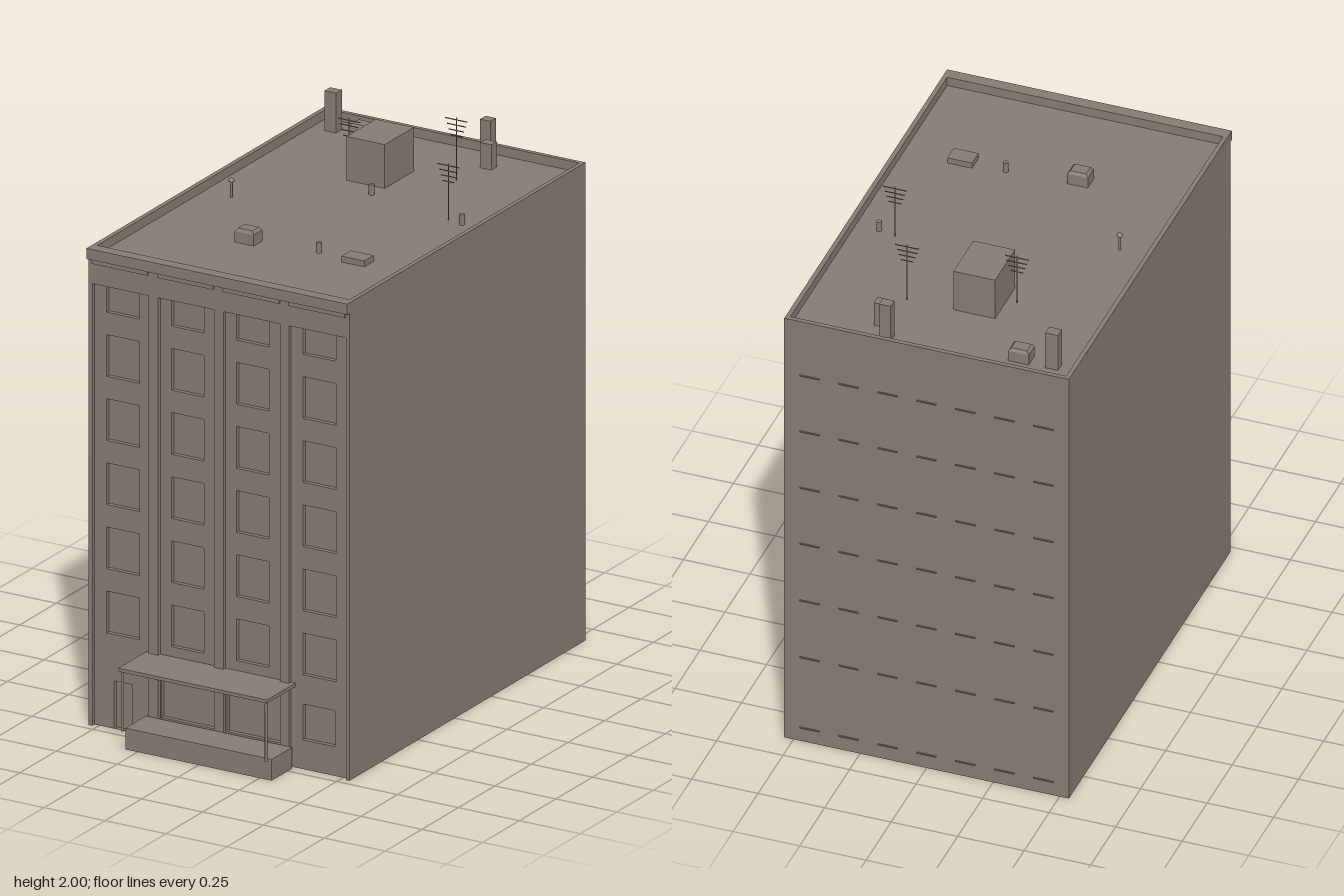
import * as THREE from 'three';

export function createModel() {
  const model = new THREE.Group();
  model.name = 'apartmentBlock';
  const stone = new THREE.MeshStandardMaterial({ color: 0x857c72, side: THREE.DoubleSide });
  stone.name = 'warm grey';

  function add(geo, name, parent = model) {
    const mesh = new THREE.Mesh(geo, stone);
    mesh.name = name;
    parent.add(mesh);
    return mesh;
  }
  function group(name) {
    const g = new THREE.Group();
    g.name = name;
    model.add(g);
    return g;
  }
  // Box from its limits; omit lists faces left open (0 +x, 1 -x, 2 +y, 3 -y, 4 +z, 5 -z)
  function box(name, x0, x1, y0, y1, z0, z1, omit = [], parent = model) {
    const geo = new THREE.BoxGeometry(x1 - x0, y1 - y0, z1 - z0);
    geo.translate((x0 + x1) / 2, (y0 + y1) / 2, (z0 + z1) / 2);
    const index = Array.from(geo.index.array);
    geo.setIndex(index.filter((v, i) => !omit.includes(Math.floor(i / 6))));
    geo.clearGroups();
    return add(geo, name, parent);
  }
  // Upright rectangle facing the front, with rectangular holes
  function panel(name, [x0, x1, y0, y1], z, holes, parent) {
    const trace = (path, [a, b, c, d]) => {
      path.moveTo(a, c); path.lineTo(b, c); path.lineTo(b, d); path.lineTo(a, d); path.closePath();
      return path;
    };
    const shape = trace(new THREE.Shape(), [x0, x1, y0, y1]);
    holes.forEach(h => shape.holes.push(trace(new THREE.Path(), h)));
    return add(new THREE.ShapeGeometry(shape).translate(0, 0, z), name, parent);
  }
  function tube(name, x, y0, y1, z, r, sides, parent = model) {
    const geo = new THREE.CylinderGeometry(r, r, y1 - y0, sides);
    return add(geo.translate(x, (y0 + y1) / 2, z), name, parent);
  }

  const W = 0.535, BACK = -0.895, FRONT = 0.72, TOP = 1.8, ROOF = 1.765;
  const BAY_TOP = 1.665, BAY_Z = 0.705, PANE_Z = 0.688;

  // Side and back walls, open underneath
  box('outerWalls', -W, W, 0, TOP, BACK, FRONT, [2, 3, 4]);

  // Roof with raised edge
  const roof = group('roof');
  add(new THREE.PlaneGeometry(2 * W, 1.6).rotateX(-Math.PI / 2).translate(0, ROOF, -0.095), 'roofDeck', roof);
  box('parapetLeft', 0.518, W, ROOF, TOP, BACK, 0.69, [0, 3, 4, 5], roof);
  box('parapetRight', -W, -0.518, ROOF, TOP, BACK, 0.69, [1, 3, 4, 5], roof);
  box('parapetBack', -0.518, 0.518, ROOF, TOP, BACK, -0.878, [0, 1, 3, 5], roof);
  box('cornice', -W, W, 1.76, TOP, 0.69, 0.735, [], roof);

  // Facade: frieze, pilasters and recessed window bays
  const facade = group('facade');
  panel('frieze', [-W, W, BAY_TOP, 1.76], FRONT, [], facade);
  const bays = [[-0.52, -0.29], [-0.25, -0.02], [0.018, 0.25], [0.287, 0.52]];
  const edges = [-W, ...bays.flat(), W];
  for (let i = 0; i < edges.length; i += 2) {
    panel('pilaster', [edges[i], edges[i + 1], 0, BAY_TOP], FRONT, [], facade);
  }
  const groundOpenings = [
    [-0.44, -0.365, 0.001, 0.18],
    [-0.245, -0.025, 0.08, 0.285],
    [0.023, 0.243, 0.08, 0.285],
    [0.335, 0.467, 0.11, 0.245],
  ];
  bays.forEach(([x0, x1], b) => {
    box('bayReveal', x0, x1, 0, BAY_TOP, BAY_Z, FRONT, [3, 4, 5], facade);
    box('bayMoulding', x0, x1, 1.743, 1.76, FRONT, 0.728, [5], facade);
    const left = [-0.47, -0.205, 0.062, 0.335][b];
    const holes = [groundOpenings[b]];
    for (let r = 0; r < 6; r++) {
      const y = 0.355 + r * 0.2415;
      holes.push([left, left + 0.135, y, Math.min(y + 0.157, BAY_TOP - 0.001)]);
    }
    panel('bayWall', [x0, x1, 0, BAY_TOP], BAY_Z, holes, facade);
    holes.forEach(([a, c, d, e], i) =>
      box(i ? 'window' : 'groundOpening', a, c, d, e, PANE_Z, BAY_Z, [4], facade));
  });

  // Entrance platform, canopy and posts
  const entrance = group('entrance');
  box('entranceStep', -0.3, 0.3, 0, 0.08, FRONT, 0.86, [3, 5], entrance);
  box('canopy', -0.305, 0.305, 0.305, 0.318, BAY_Z, 0.9, [], entrance);
  for (const s of [-1, 1]) tube('canopyPost', s * 0.295, 0.08, 0.305, 0.89, 0.005, 8, entrance);

  // Thin sills on the back wall
  const sills = group('backSills');
  for (const y of [0.058, 0.36, 0.604, 0.848, 1.088, 1.33, 1.57]) {
    for (let i = -3; i <= 3; i++) {
      const x = i * 0.1465;
      box('backSill', x - 0.037, x + 0.037, y - 0.002, y + 0.002, -0.9, BACK, [4], sills);
    }
  }

  // Stair house and chimneys
  const rooftop = group('rooftopStructures');
  const block = (name, x0, x1, z0, z1, top) => box(name, x0, x1, ROOF, top, z0, z1, [3], rooftop);
  block('stairHouse', -0.143, 0.014, -0.59, -0.39, 1.93);
  block('chimney', -0.462, -0.414, -0.81, -0.77, 1.915);
  block('chimney', 0.152, 0.195, -0.85, -0.812, 1.915);
  block('shortChimney', 0.197, 0.243, -0.776, -0.738, 1.86);
  block('roofHatch', 0.257, 0.35, 0.245, 0.31, 1.787);

  // Skylight boxes with bevelled tops
  for (const [x, z] of [[-0.315, -0.785], [-0.128, 0.305]]) {
    const geo = new THREE.BoxGeometry(0.078, 0.053, 0.06, 1, 2, 1);
    const p = geo.attributes.position;
    for (let i = 0; i < p.count; i++) {
      if (p.getY(i) > 0.02) p.setXYZ(i, p.getX(i) * 0.75, p.getY(i), p.getZ(i) * 0.75);
      else if (p.getY(i) > -0.01) p.setY(i, 0.015);
    }
    const flat = geo.toNonIndexed();
    flat.computeVertexNormals();
    add(flat.translate(x, ROOF + 0.0265, z), 'skylight', rooftop);
  }

  // Vent pipes
  for (const [x, z] of [[0.005, -0.315], [0.43, -0.225], [0.14, 0.27]]) {
    tube('ventPipe', x, ROOF, 1.804, z, 0.01, 12, rooftop);
  }
  tube('ventStem', -0.405, ROOF, 1.825, -0.04, 0.005, 8, rooftop);
  add(new THREE.SphereGeometry(0.012, 12, 6, 0, Math.PI * 2, 0, Math.PI / 2)
    .translate(-0.405, 1.825, -0.04), 'ventCap', rooftop);

  // Aerials with crossbars that shorten downwards
  for (const [x, z, top] of [[-0.18, -0.47, 1.965], [0.188, -0.59, 2.0], [0.365, -0.24, 1.977]]) {
    const aerial = group('aerial');
    tube('aerialMast', x, ROOF, top, z, 0.002, 6, aerial);
    for (let i = 0; i < 4; i++) {
      const half = 0.045 - i * 0.007, y = top - 0.008 - i * 0.02;
      box('aerialBar', x - half, x + half, y - 0.0015, y + 0.0015, z - 0.0015, z + 0.0015, [], aerial);
    }
  }
  return model;
}
